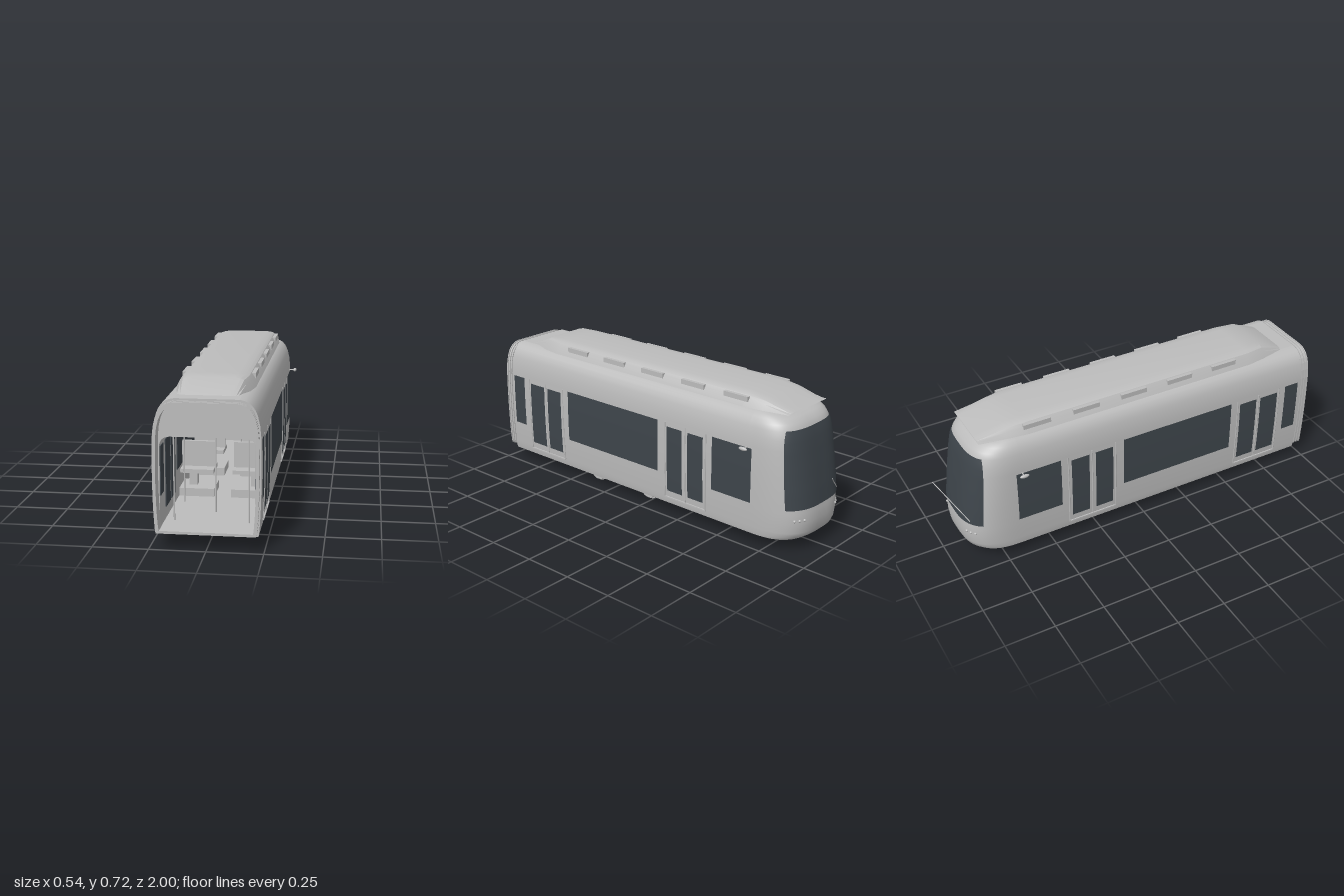
import * as THREE from 'three';
import { toCreasedNormals } from 'three/addons/utils/BufferGeometryUtils.js';

const mat = (name, color) => new THREE.MeshStandardMaterial({ name, color, side: THREE.DoubleSide });

// Body profile: height, half width, nose z
const PROFILE = [
  [0.06, 0.222, -0.89], [0.075, 0.225, -0.912], [0.1, 0.227, -0.923], [0.15, 0.23, -0.929], [0.2, 0.232, -0.927],
  [0.3, 0.234, -0.915], [0.4, 0.234, -0.9], [0.5, 0.232, -0.883], [0.55, 0.227, -0.873], [0.59, 0.218, -0.861],
  [0.615, 0.208, -0.845], [0.635, 0.194, -0.82], [0.648, 0.178, -0.78], [0.656, 0.16, -0.74], [0.66, 0.14, -0.69],
];
const NOSE_START = -0.65, BODY_END = 0.95, POWER = 3;
const lerp = THREE.MathUtils.lerp;

function profileAt(y) {
  let i = 1;
  while (i < PROFILE.length - 1 && PROFILE[i][0] < y) i++;
  const a = PROFILE[i - 1], b = PROFILE[i], t = (y - a[0]) / (b[0] - a[0]);
  return [lerp(a[1], b[1], t), lerp(a[2], b[2], t)];
}

// Point on the rounded nose at angle a (0 = left side, PI = right side)
function nosePoint(y, a, off = 0) {
  const [w, nose] = profileAt(y), c = Math.cos(a), s = Math.max(0, Math.sin(a)), e = 2 / POWER;
  return [Math.sign(c) * (w + off) * Math.abs(c) ** e, y, NOSE_START - (NOSE_START - nose + off) * s ** e];
}

// Surface from a grid of points fn(column, row)
function grid(cols, rows, fn) {
  const pos = [], idx = [];
  for (let j = 0; j <= rows; j++) for (let i = 0; i <= cols; i++) pos.push(...fn(i, j));
  for (let j = 0; j < rows; j++) for (let i = 0; i < cols; i++) {
    const a = j * (cols + 1) + i, b = a + cols + 1;
    idx.push(a, a + 1, b, a + 1, b + 1, b);
  }
  const g = new THREE.BufferGeometry();
  g.setAttribute('position', new THREE.Float32BufferAttribute(pos, 3));
  g.setIndex(idx);
  g.computeVertexNormals();
  return g;
}

// Cross-section outline of the body, inset by d
function sectionPoints(d, y0, y1) {
  const right = PROFILE.map(([y, w]) => new THREE.Vector2(w - d, lerp(y0, y1, (y - 0.06) / 0.6)));
  return [...right, ...right.map(p => new THREE.Vector2(-p.x, p.y)).reverse()];
}

// Saloon outline with rounded upper corners
function saloonPoints() {
  const s = new THREE.Shape();
  s.moveTo(-0.21, 0.076); s.lineTo(0.21, 0.076); s.lineTo(0.21, 0.44);
  s.quadraticCurveTo(0.208, 0.485, 0.165, 0.487); s.lineTo(-0.165, 0.487);
  s.quadraticCurveTo(-0.208, 0.485, -0.21, 0.44);
  return s.getPoints(8);
}

export function createModel() {
  const model = new THREE.Group();
  const grey = mat('bodyGrey', 0xbcbcbc), glass = mat('darkGlass', 0x3e454b);
  const add = (name, geo, m = grey, x = 0, y = 0, z = 0) => {
    const mesh = new THREE.Mesh(geo, m);
    mesh.name = name;
    mesh.position.set(x, y, z);
    model.add(mesh);
    return mesh;
  };
  const box = (name, x0, x1, y0, y1, z0, z1, m = grey) => add(name,
    new THREE.BoxGeometry(Math.abs(x1 - x0), Math.abs(y1 - y0), Math.abs(z1 - z0)), m, (x0 + x1) / 2, (y0 + y1) / 2, (z0 + z1) / 2);
  const rod = (name, pts, r, m = grey) => {
    const [a, b] = pts.map(p => new THREE.Vector3(...p));
    const mesh = add(name, new THREE.CylinderGeometry(r, r, a.distanceTo(b), 8), m);
    mesh.position.copy(a).add(b).multiplyScalar(0.5);
    mesh.quaternion.setFromUnitVectors(new THREE.Vector3(0, 1, 0), b.sub(a).normalize());
    return mesh;
  };
  const extrude = (name, outer, hole, z, depth) => {
    const s = new THREE.Shape(outer);
    if (hole) s.holes.push(new THREE.Path(hole));
    return add(name, new THREE.ExtrudeGeometry(s, { depth, bevelEnabled: false }), grey, 0, 0, z);
  };

  // Shell: straight sides running into a rounded nose
  const ARC = 56;
  const ring = (i, y) => {
    if (i === 0 || i === ARC + 2) return [(i ? -1 : 1) * profileAt(y)[0], y, BODY_END];
    return nosePoint(y, (i - 1) / ARC * Math.PI);
  };
  add('bodyShell', grid(ARC + 2, PROFILE.length - 1, (i, j) => ring(i, PROFILE[j][0])));
  for (const [name, y] of [['underside', 0.06], ['roof', 0.66]])
    add(name, grid(ARC + 2, 1, (i, j) => { const p = ring(i, y); return [p[0] * (1 - j), y, p[2]]; }));

  // Windscreen wrapped round the nose
  add('windscreen', grid(48, 20, (i, j) => {
    const y = lerp(0.22, 0.592, j / 20), nose = profileAt(y)[1];
    const edge = lerp(-0.85, -0.818, j / 20);
    const a0 = Math.asin(((NOSE_START - edge) / (NOSE_START - nose)) ** (POWER / 2));
    return nosePoint(y, lerp(a0, Math.PI - a0, i / 48), 0.004);
  }), glass);

  // Open gangway end: ribbed frame and header panel
  extrude('gangwayFrame', sectionPoints(0.009, 0.076, 0.65), sectionPoints(0.019, 0.086, 0.64), 0.935, 0.065);
  for (const z of [0.962, 0.978, 0.994])
    extrude('gangwayRib', sectionPoints(0.005, 0.074, 0.653), sectionPoints(0.012, 0.08, 0.648), z, 0.006);
  extrude('bodyEndRim', sectionPoints(0, 0.06, 0.66), sectionPoints(0.014, 0.076, 0.647), 0.944, 0.006);
  extrude('headerPanel', sectionPoints(0.004, 0.064, 0.656), saloonPoints(), 0.925, 0.006);

  // Saloon lining and cab partition
  const lining = saloonPoints();
  lining.push(lining[0].clone());
  add('saloonLining', toCreasedNormals(grid(lining.length - 1, 1, (i, j) => [lining[i].x, lining[i].y, j ? -0.62 : 0.925]), 0.6));
  extrude('cabPartition', saloonPoints(), null, -0.63, 0.01);
  box('cabDoorWindow', -0.16, -0.06, 0.33, 0.397, -0.62, -0.614, glass);
  box('displayHousing', -0.062, 0.062, 0.43, 0.472, -0.62, -0.6);
  box('displayScreen', -0.056, 0.056, 0.433, 0.468, -0.6, -0.596, glass);

  // Side glazing: z start, z end, bottom, top
  const panes = [
    [0.93, 0.85, 0.22, 0.49], [0.515, -0.11, 0.22, 0.49], [-0.45, -0.68, 0.22, 0.49],
    [0.8, 0.695, 0.13, 0.47], [0.67, 0.57, 0.13, 0.47], [-0.17, -0.265, 0.13, 0.47], [-0.3, -0.395, 0.13, 0.47],
  ];
  for (const s of [-1, 1]) {
    for (const [z0, z1, y0, y1] of panes) {
      add('sideWindow', grid(1, 10, (i, j) => {
        const y = lerp(y0, y1, j / 10);
        return [s * (profileAt(y)[0] + 0.003), y, i ? z1 : z0];
      }), glass);
      if (z1 > -0.6) box('innerWindow', s * 0.206, s * 0.21, y0, Math.min(y1, 0.44), z0 > 0.92 ? 0.92 : z0, z1, glass);
    }

    // Door trims and sills
    for (const z of [0.685, -0.283]) {
      for (const d of [-0.128, 0, 0.128])
        rod('doorTrim', [[s * 0.229, 0.095, z + d], [s * 0.234, 0.3, z + d]], 0.0035),
        rod('doorTrim', [[s * 0.234, 0.3, z + d], [s * 0.232, 0.49, z + d]], 0.0035);
      box('doorSill', s * 0.22, s * 0.233, 0.091, 0.097, z - 0.13, z + 0.13);
    }

    // Side mirrors
    rod('mirrorArm', [[s * 0.228, 0.491, -0.65], [s * 0.262, 0.491, -0.65]], 0.0035);
    add('mirror', new THREE.SphereGeometry(0.009, 16, 12), grey, s * 0.262, 0.491, -0.65).scale.z = 2.6;

    // Roof vents
    for (let i = 0; i < 5; i++) {
      const z = 0.5 - i * 0.2575;
      box('roofVent', s * 0.15, s * 0.168, 0.678, 0.702, z - 0.07, z + 0.07);
    }

    // Nose lamps
    for (let i = 0; i < 3; i++) {
      const p = nosePoint(0.165, Math.PI / 2 - s * (0.42 + i * 0.13));
      add('noseLamp', new THREE.SphereGeometry(0.007, 12, 8), grey, ...p);
    }

    // Seats and grab poles
    for (const z of [0.38, 0.02]) {
      box('seatPlinth', s * 0.04, s * 0.208, 0.076, 0.115, z - 0.08, z + 0.08);
      box('seatCushion', s * 0.045, s * 0.205, 0.187, 0.206, z - 0.07, z + 0.07);
      box('seatBack', s * 0.045, s * 0.205, 0.206, 0.33, z - 0.01, z + 0.01);
      box('seatPost', s * 0.13, s * 0.17, 0.115, 0.187, z - 0.02, z + 0.02);
    }
    for (const z of [0.82, 0.55, -0.15, -0.42]) rod('grabPole', [[s * 0.167, 0.076, z], [s * 0.167, 0.483, z]], 0.0035);

    // Wheels with flanges, brake discs and hangers
    for (const z of [0.38, 0.02]) {
      rod('wheelTread', [[s * 0.142, 0.058, z], [s * 0.164, 0.058, z]], 0.052).geometry =
        new THREE.CylinderGeometry(0.048, 0.053, 0.022, 32);
      add('wheelFlange', new THREE.CylinderGeometry(0.058, 0.058, 0.007, 32), grey, s * 0.144, 0.058, z).rotation.z = Math.PI / 2;
      add('brakeDisc', new THREE.CylinderGeometry(0.035, 0.035, 0.008, 24), grey, s * 0.093, 0.06, z).rotation.z = Math.PI / 2;
      box('wheelHanger', s * 0.15, s * 0.182, 0.046, 0.06, z - 0.03, z + 0.03);
    }
  }

  // Centre poles, axles and traction motors
  for (const z of [0.685, -0.283]) rod('centrePole', [[0, 0.076, z], [0, 0.486, z]], 0.004);
  for (const z of [0.38, 0.02]) rod('axle', [[-0.145, 0.06, z], [0.145, 0.06, z]], 0.008);
  for (const z of [0.29, 0.11]) rod('motor', [[-0.085, 0.054, z], [0.06, 0.054, z]], 0.017);

  // Roof fairing lofted along z: z, half width, base y, height
  const stations = [
    [0.88, 0.14, 0.657, 0.002], [0.75, 0.163, 0.655, 0.06], [0.65, 0.178, 0.655, 0.061], [-0.58, 0.178, 0.655, 0.061],
    [-0.68, 0.167, 0.656, 0.048], [-0.82, 0.15, 0.661, 0.006],
  ];
  const half = [[1, 0], [0.9, 0.55], [0.83, 0.82], [0.74, 0.94], [0.56, 1]];
  const loop = [...half, ...half.map(([x, y]) => [-x, y]).reverse(), [1, 0]];
  add('roofFairing', toCreasedNormals(grid(loop.length - 1, stations.length - 1, (i, j) => {
    const [z, w, y, h] = stations[j];
    return [loop[i][0] * w, y + loop[i][1] * h, z];
  }), 0.45));

  // Windscreen wiper
  rod('wiper', [[-0.153, 0.235, -0.9], [0.05, 0.373, -0.999]], 0.0022);

  return model;
}
